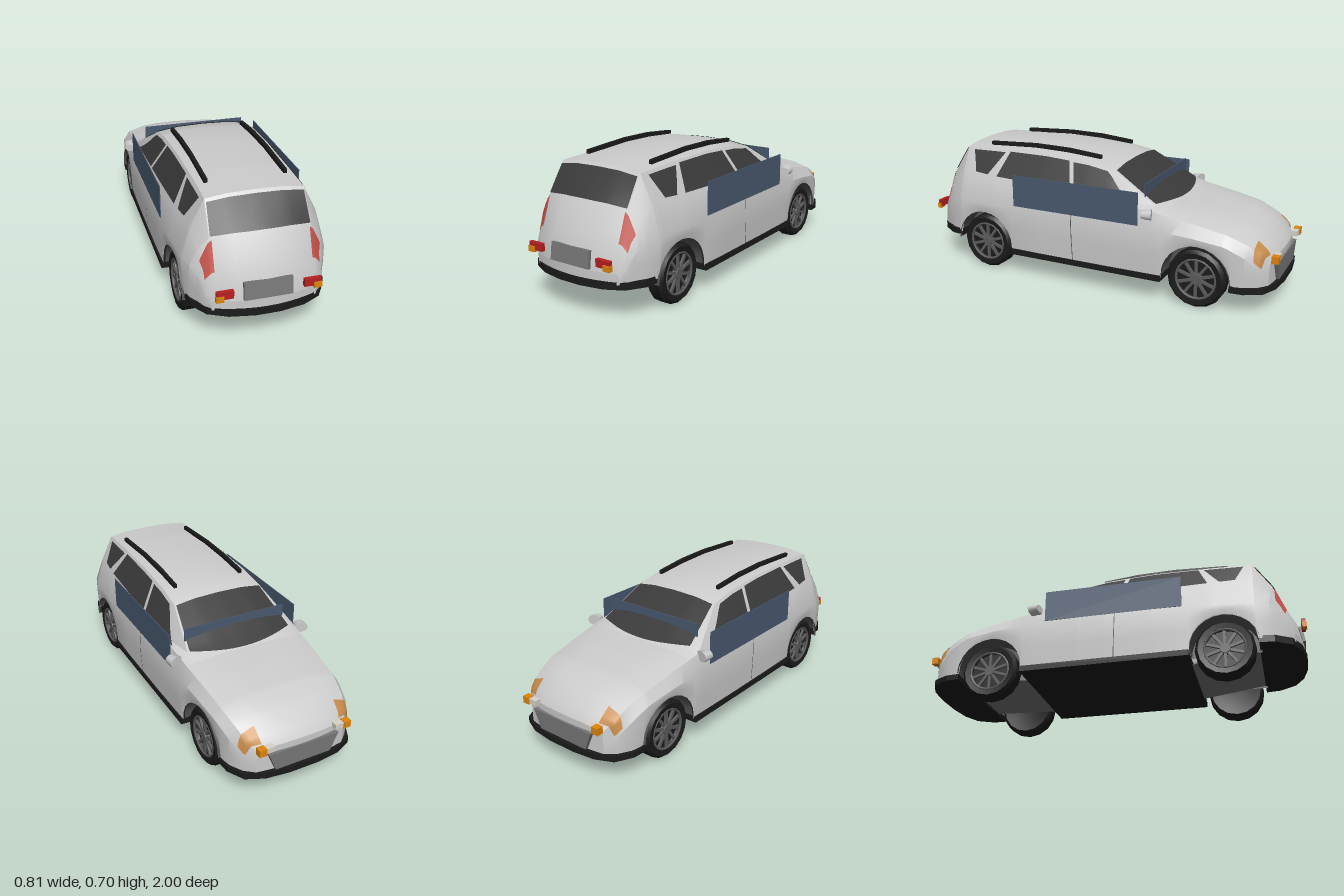
import * as THREE from 'three';
import { toCreasedNormals } from 'three/addons/utils/BufferGeometryUtils.js';

const mat = (color) => new THREE.MeshStandardMaterial({ color, side: THREE.DoubleSide });
const paint = mat(0xcccccc), glass = mat(0x3a3a3a), trim = mat(0x1b1b1b), grey = mat(0x777777);
const amber = mat(0xe0860f), red = mat(0xb91f22), tailGlass = mat(0xc4524a), headGlass = mat(0xc48a4a);
const panelBlue = mat(0x4a5a70), alloy = mat(0x5c5c5c), lining = mat(0x555555), white = mat(0xd8d4c8);

const WHEEL_Z = [0.6, -0.62], WHEEL_Y = 0.155, ARCH = 0.175;
const lerp = THREE.MathUtils.lerp, clamp = THREE.MathUtils.clamp;

// Body stations: z, half width, shoulder y, belt x, belt y, roof edge x, roof edge y, centre y
const STATIONS = [
  [-0.98, 0.24, 0.20, 0.235, 0.26, 0.20, 0.28, 0.285],
  [-0.95, 0.29, 0.24, 0.27, 0.31, 0.20, 0.325, 0.335],
  [-0.88, 0.325, 0.30, 0.29, 0.355, 0.20, 0.38, 0.388],
  [-0.75, 0.345, 0.35, 0.31, 0.40, 0.22, 0.425, 0.435],
  [-0.60, 0.355, 0.37, 0.32, 0.43, 0.24, 0.45, 0.46],
  [-0.45, 0.36, 0.38, 0.33, 0.455, 0.28, 0.47, 0.478],
  [-0.38, 0.362, 0.38, 0.335, 0.47, 0.295, 0.49, 0.515],
  [-0.14, 0.365, 0.38, 0.338, 0.49, 0.25, 0.63, 0.65],
  [0, 0.365, 0.38, 0.338, 0.495, 0.245, 0.655, 0.68],
  [0.25, 0.365, 0.38, 0.335, 0.505, 0.24, 0.67, 0.693],
  [0.55, 0.36, 0.38, 0.325, 0.515, 0.235, 0.668, 0.69],
  [0.76, 0.345, 0.38, 0.30, 0.53, 0.235, 0.66, 0.677],
  [0.88, 0.325, 0.37, 0.29, 0.45, 0.24, 0.515, 0.53],
  [0.93, 0.30, 0.34, 0.27, 0.38, 0.24, 0.41, 0.42],
  [0.97, 0.28, 0.28, 0.265, 0.31, 0.24, 0.33, 0.34],
  [0.985, 0.25, 0.22, 0.245, 0.235, 0.22, 0.245, 0.25],
];

// Rounds the nose and tail in plan
function bowed(s, x) {
  const k = (x / 0.36) ** 2;
  return s - 0.1 * k * clamp((s - 0.75) / 0.2, 0, 1) + 0.05 * k * clamp((-0.78 - s) / 0.17, 0, 1);
}

// Lower edge of the side panels, rising over the wheels
function lowerEdge(s) {
  const base = lerp(0.14, 0.19, clamp((s - 0.7) / 0.08, 0, 1));
  return WHEEL_Z.reduce((y, c) => {
    const d = ARCH ** 2 - (s - c) ** 2;
    return d > 0 ? Math.max(y, WHEEL_Y + Math.sqrt(d)) : y;
  }, base);
}

// Half cross-section, sill to roof centre
function section(s) {
  let i = 0;
  while (i < STATIONS.length - 2 && s > STATIONS[i + 1][0]) i++;
  const a = STATIONS[i], b = STATIONS[i + 1], t = (s - a[0]) / (b[0] - a[0]);
  const [, w, ys, xb, yb, xr, yr, yc] = a.map((v, k) => lerp(v, b[k], t));
  const y0 = lowerEdge(s);
  return [[w * 0.985, y0], [w, lerp(y0, ys, 0.5)], [w, ys], [xb, yb], [xr, yr],
    [xr * 0.55, lerp(yr, yc, 0.8)], [0, yc]];
}

// Point on the body; u runs 0 to 12 from the left sill over the roof to the right sill
function surf(s, u) {
  const p = section(s), h = u > 6 ? 12 - u : u, i = Math.min(5, Math.floor(h)), t = h - i;
  const x = lerp(p[i][0], p[i + 1][0], t), y = lerp(p[i][1], p[i + 1][1], t);
  return new THREE.Vector3(u > 6 ? -x : x, y, bowed(s, x));
}

// Surface from a grid of points
function grid(n, m, fn) {
  const pos = [], idx = [];
  for (let i = 0; i <= n; i++) for (let j = 0; j <= m; j++) {
    pos.push(...fn(i, j).toArray());
    if (i < n && j < m) {
      const a = i * (m + 1) + j, b = a + m + 1;
      idx.push(a, a + 1, b, a + 1, b + 1, b);
    }
  }
  const g = new THREE.BufferGeometry();
  g.setAttribute('position', new THREE.Float32BufferAttribute(pos, 3));
  g.setIndex(idx);
  g.computeVertexNormals();
  return g;
}

// Panel lying just above the body; range(b) gives [s0, s1] at height b
function patch(u0, u1, range, n = 12, m = 6, lift = 0.005) {
  return grid(n, m, (i, j) => {
    const u = lerp(u0, u1, j / m), [s0, s1] = range(j / m), s = lerp(s0, s1, i / n);
    const p = surf(s, u), e = 0.004;
    const normal = surf(s, u + e).sub(p).cross(surf(s + e, u).sub(p)).normalize();
    return p.addScaledVector(normal, lift);
  });
}

// Flat slab from half a plan outline, hanging down from yTop
function slab(half, yTop, depth) {
  const pts = [...half, ...half.slice().reverse().map(([x, z]) => [-x, z])];
  const shape = new THREE.Shape(pts.map(([x, z]) => new THREE.Vector2(x, z)));
  return new THREE.ExtrudeGeometry(shape, { depth, bevelEnabled: false }).rotateX(Math.PI / 2).translate(0, yTop, 0);
}

function makeWheel() {
  const wheel = new THREE.Group();
  const put = (name, g, m) => { const o = new THREE.Mesh(g, m); o.name = name; wheel.add(o); };
  const profile = [[0.001, -0.03], [0.1, -0.04], [0.135, -0.046], [0.15, -0.03], [0.15, 0.03], [0.135, 0.046], [0.108, 0.042], [0.1, 0.02], [0.001, 0.02]];
  const tyre = new THREE.LatheGeometry(profile.map(([r, y]) => new THREE.Vector2(r, y)), 16);
  put('tyre', toCreasedNormals(tyre.rotateZ(-Math.PI / 2), 0.5), trim);
  put('rimRing', new THREE.TorusGeometry(0.102, 0.007, 6, 24).rotateY(Math.PI / 2).translate(0.038, 0, 0), alloy);
  put('hub', new THREE.CylinderGeometry(0.026, 0.032, 0.022, 12).rotateZ(-Math.PI / 2).translate(0.031, 0, 0), alloy);
  for (let k = 0; k < 10; k++)
    put('spoke', new THREE.BoxGeometry(0.012, 0.08, 0.014).translate(0.032, 0.062, 0).rotateX(k * Math.PI / 5), alloy);
  return wheel;
}

export function createModel() {
  const car = new THREE.Group();
  car.name = 'car';
  const add = (name, g, m) => { const o = new THREE.Mesh(g, m); o.name = name; car.add(o); return o; };
  const box = (name, m, x0, x1, y0, y1, z0, z1) => add(name,
    new THREE.BoxGeometry(Math.abs(x1 - x0), y1 - y0, z1 - z0).translate((x0 + x1) / 2, (y0 + y1) / 2, (z0 + z1) / 2), m);

  // Body shell with extra sections around the wheel arches
  const cuts = STATIONS.map((r) => r[0]);
  for (const c of WHEEL_Z) for (let k = 0; k <= 12; k++) cuts.push(c + ARCH * Math.cos(k * Math.PI / 12));
  cuts.sort((a, b) => a - b);
  add('bodyShell', toCreasedNormals(grid(cuts.length - 1, 12, (i, j) => surf(cuts[i], j)), 0.45), paint);

  // Nose and tail closing panels
  for (const [name, s] of [['nosePanel', -0.98], ['tailPanel', 0.985]]) {
    const p = section(s);
    add(name, grid(6, 10, (i, j) => {
      const x = p[i][0] * (j / 5 - 1);
      return new THREE.Vector3(x, p[i][1], bowed(s, x));
    }), paint);
  }

  // Windscreen and rear window
  add('windscreen', patch(4.08, 7.92, (b) => [-0.445 + 0.06 * (2 * b - 1) ** 2, -0.15], 14, 16), glass);
  add('rearWindow', patch(4.05, 7.95, () => [0.772, 0.877], 6, 16), glass);

  // Side glass, lamps on the corners and door seams: [name, material, u range, lower s range, upper s range]
  const overlays = [
    ['frontSideWindow', glass, 3.1, 3.9, [-0.29, 0.05], [-0.11, 0.09]],
    ['rearSideWindow', glass, 3.1, 3.92, [0.075, 0.53], [0.115, 0.48]],
    ['quarterWindow', glass, 3.1, 3.88, [0.59, 0.67], [0.51, 0.715]],
    ['tailLamp', tailGlass, 2.9, 4.1, [0.905, 0.955], [0.885, 0.95]],
    ['headlamp', headGlass, 2.2, 3.8, [-0.955, -0.92], [-0.966, -0.9]],
    ['doorSeam', lining, 0.1, 3.05, [0.045, 0.049], [0.055, 0.059]],
  ];
  for (const [name, m, u0, u1, lo, hi] of overlays) for (const right of [false, true]) {
    const range = (b) => [lerp(lo[0], hi[0], b), lerp(lo[1], hi[1], b)];
    const lift = name === 'doorSeam' ? 0.002 : 0.005;
    add(name, right ? patch(12 - u0, 12 - u1, range, 12, 6, lift) : patch(u0, u1, range, 12, 6, lift), m);
  }

  // Black bumpers and floor with sills
  add('frontBumper', slab([[0.34, -0.79], [0.335, -0.86], [0.29, -0.945], [0.2, -0.985], [0.08, -1]], 0.15, 0.03), trim);
  add('rearBumper', slab([[0.335, 0.765], [0.325, 0.84], [0.27, 0.925], [0.18, 0.97], [0.06, 0.992]], 0.202, 0.036), trim);
  add('floor', slab([[0.366, -0.445], [0.368, 0.425]], 0.15, 0.03), trim);

  // Sloping under panels between the wheels
  for (const [z0, y0, z1, y1] of [[0.42, 0.122, 0.8, 0.172], [-0.82, 0.135, -0.44, 0.122]])
    add('underPanel', grid(1, 1, (i, j) => new THREE.Vector3(j ? -0.24 : 0.24, i ? y1 : y0, i ? z1 : z0)), grey);

  // Grille and number plate panel
  const grille = new THREE.Shape([[-0.15, 0.155], [0.15, 0.155], [0.19, 0.25], [-0.19, 0.25]].map(([x, y]) => new THREE.Vector2(x, y)));
  add('grille', new THREE.ExtrudeGeometry(grille, { depth: 0.025, bevelEnabled: false }).translate(0, 0, -0.988), grey);
  const plate = box('platePanel', grey, -0.115, 0.115, -0.043, 0.043, -0.008, 0.008);
  plate.position.set(0, 0.293, 0.977);
  plate.rotation.x = -0.14;

  // Windscreen-side blue sheet
  box('frontSheet', panelBlue, -0.285, 0.285, 0.45, 0.59, -0.327, -0.323);

  // Roof rail profile in z and y
  const rail = new THREE.Shape([[-0.04, 0.665], [0.15, 0.68], [0.35, 0.685], [0.63, 0.672], [0.63, 0.692], [0.35, 0.706], [0.15, 0.702], [-0.04, 0.684]]
    .map(([z, y]) => new THREE.Vector2(z, y)));

  for (const side of [1, -1]) {
    box('sideSheet', panelBlue, side * 0.358, side * 0.362, 0.395, 0.565, -0.32, 0.4);
    add('roofRail', new THREE.ExtrudeGeometry(rail, { depth: 0.018, bevelEnabled: false })
      .translate(0, 0, -0.009).rotateY(-Math.PI / 2).translate(side * 0.193, 0, 0), trim);

    // Door mirror, narrowing outward
    const mirror = new THREE.CylinderGeometry(0.026, 0.036, 0.05, 8).scale(1.1, 1, 0.8).rotateX(Math.PI / 2);
    const housing = add('doorMirror', mirror, paint);
    housing.position.set(side * 0.368, 0.463, -0.37);
    housing.rotation.y = side * 0.3;
    box('mirrorArm', paint, side * 0.32, side * 0.36, 0.445, 0.46, -0.375, -0.345);

    // Add-on lamps
    box('rearMarker', red, side * 0.165, side * 0.245, 0.278, 0.316, 0.975, 0.995);
    box('rearIndicator', amber, side * 0.21, side * 0.248, 0.268, 0.297, 0.978, 1);
    box('frontMarker', white, side * 0.165, side * 0.215, 0.272, 0.3, -0.995, -0.965);
    box('frontIndicator', amber, side * 0.21, side * 0.248, 0.268, 0.304, -1, -0.965);

    // Wheels and arch linings
    for (const z of WHEEL_Z) {
      const wheel = makeWheel();
      wheel.name = z > 0 ? 'rearWheel' : 'frontWheel';
      wheel.position.set(side * 0.292, WHEEL_Y, z);
      if (side < 0) wheel.rotation.y = Math.PI;
      car.add(wheel);
      add('archLining', new THREE.CylinderGeometry(ARCH, ARCH, 0.11, 12, 1, true, 0, Math.PI)
        .rotateZ(Math.PI / 2).translate(side * 0.292, WHEEL_Y, z), lining);
      add('archWall', new THREE.CircleGeometry(ARCH, 12, 0, Math.PI)
        .rotateY(Math.PI / 2).translate(side * 0.238, WHEEL_Y, z), lining);
    }
  }
  return car;
}
